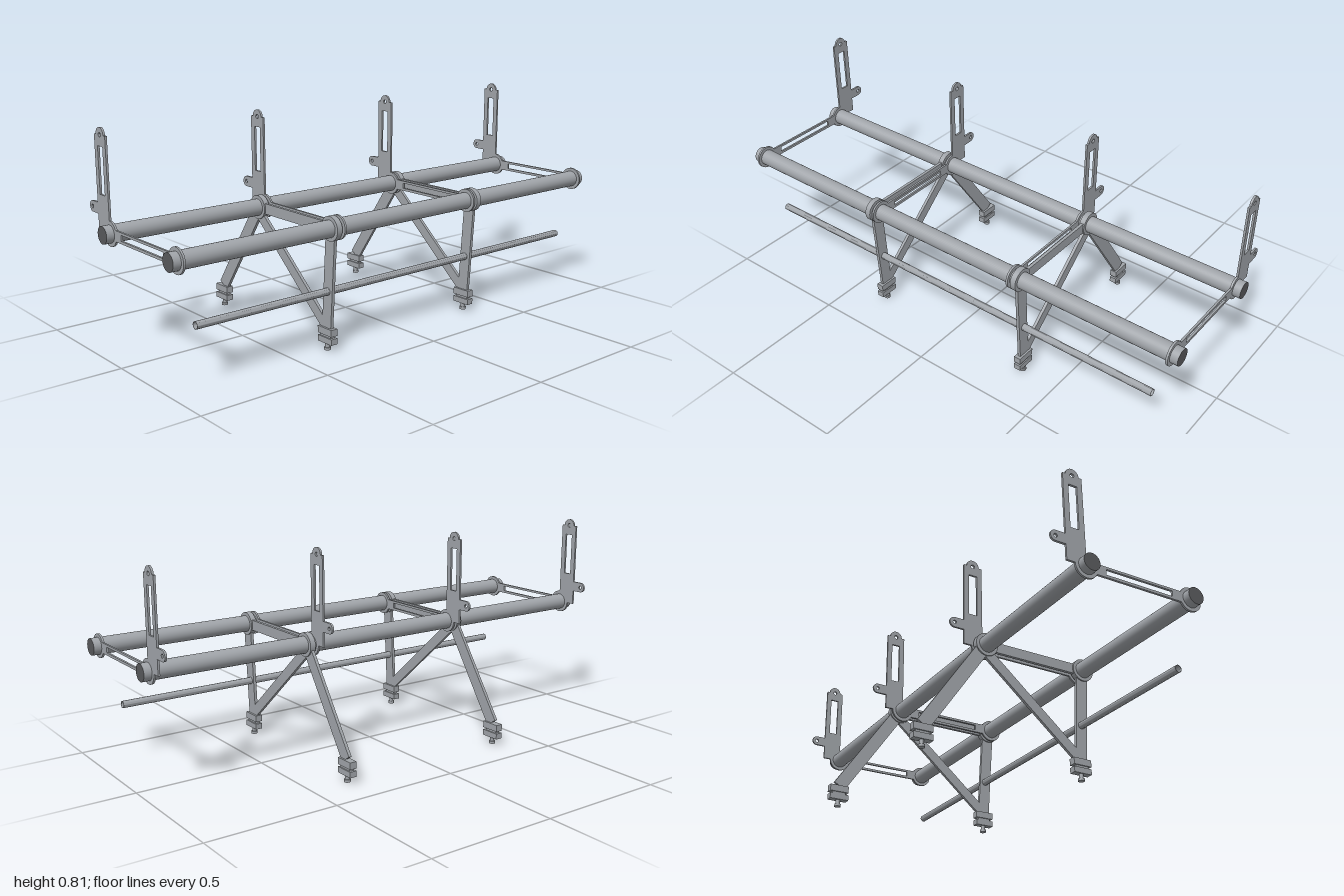
import * as THREE from 'three';
import { toCreasedNormals } from 'three/addons/utils/BufferGeometryUtils.js';

const steel = new THREE.MeshStandardMaterial({ color: 0xa0a4a9 });
steel.name = 'steel grey';
const dark = new THREE.MeshStandardMaterial({ color: 0x58595b });
dark.name = 'dark end cap';

// pipe axes as [z, y]
const FRONT = [0.339, 0.452], REAR = [-0.087, 0.452];
const PIPE_R = 0.032, RING_R = 0.045;

function add(parent, name, geometry, material = steel) {
  const mesh = new THREE.Mesh(geometry, material);
  mesh.name = name;
  parent.add(mesh);
  return mesh;
}

// extrude a profile drawn in (z, y) into a plate centred on x = 0
function plate(shape, thickness) {
  const g = new THREE.ExtrudeGeometry(shape, { depth: thickness, bevelEnabled: false, curveSegments: 24 });
  g.translate(0, 0, -thickness / 2);
  g.rotateY(-Math.PI / 2);
  return toCreasedNormals(g, 0.6);
}

function circleHole(z, y, r) {
  return new THREE.Path().absarc(z, y, r, 0, Math.PI * 2, true);
}

function polygon(points) {
  return new THREE.Shape(points.map(([z, y]) => new THREE.Vector2(z, y)));
}

// straight flat bar between two (z, y) points
function bar(a, b, width, thickness) {
  const len = Math.hypot(b[0] - a[0], b[1] - a[1]);
  const nz = -(b[1] - a[1]) / len * width / 2, ny = (b[0] - a[0]) / len * width / 2;
  return plate(polygon([
    [a[0] - nz, a[1] - ny], [b[0] - nz, b[1] - ny],
    [b[0] + nz, b[1] + ny], [a[0] + nz, a[1] + ny],
  ]), thickness);
}

function xCylinder(r, length, open = false) {
  return new THREE.CylinderGeometry(r, r, length, 40, 1, open).rotateZ(Math.PI / 2);
}

// one-piece plate: slotted link around both pipes plus the slotted upright with two eyes
function hangerGeometry() {
  const a = Math.asin(0.02 / RING_R), PI = Math.PI;
  const s = new THREE.Shape();
  s.absarc(...FRONT, RING_R, -(PI - a), PI - a, false);
  s.absarc(...REAR, RING_R, a, PI / 2, false);
  s.lineTo(-0.088, 0.787);
  s.absarc(-0.126, 0.787, 0.026, 0, PI, false);
  s.lineTo(-0.164, 0.787);
  s.lineTo(-0.164, 0.549);
  s.absarc(-0.203, 0.529, 0.02, PI / 2, PI * 1.5, false);
  s.lineTo(-0.164, 0.509);
  s.lineTo(-0.164, 0.452);
  s.absarc(...REAR, RING_R, PI, PI * 2 - a, false);
  s.holes.push(
    polygon([[-0.01, 0.442], [-0.01, 0.463], [0.262, 0.463], [0.262, 0.442]]),
    polygon([[-0.143, 0.58], [-0.143, 0.748], [-0.109, 0.748], [-0.109, 0.58]]),
    circleHole(-0.126, 0.787, 0.008),
    circleHole(-0.203, 0.529, 0.007),
  );
  return plate(s, 0.008);
}

// clamp blocks with an adjusting screw underneath
function foot(name, z) {
  const g = new THREE.Group();
  g.name = name;
  const box = (label, w, d, y0, y1) =>
    add(g, label, new THREE.BoxGeometry(w, y1 - y0, d)).position.y = (y0 + y1) / 2;
  box('upperBlock', 0.028, 0.076, 0.058, 0.084);
  box('blockNeck', 0.018, 0.055, 0.049, 0.058);
  box('lowerBlock', 0.028, 0.076, 0.027, 0.049);
  add(g, 'screw', new THREE.CylinderGeometry(0.0085, 0.0085, 0.018, 20)).position.y = 0.018;
  add(g, 'footPad', new THREE.CylinderGeometry(0.0125, 0.0125, 0.01, 20)).position.y = 0.005;
  g.position.z = z;
  return g;
}

// leg frame: collars, link bar, front leg, rear leg, diagonal brace and two feet
function legFrame() {
  const g = new THREE.Group(), t = 0.012;
  for (const [name, [z, y]] of [['frontCollar', FRONT], ['rearCollar', REAR]]) {
    add(g, name, xCylinder(RING_R, 0.022)).position.set(0, y, z);
  }
  add(g, 'linkBar', bar(FRONT, REAR, 0.04, t));
  const leg = polygon([[0.29, 0.08], [0.338, 0.08], [0.361, 0.43], [0.312, 0.43]]);
  leg.holes.push(circleHole(0.3215, 0.22, 0.0135));
  add(g, 'frontLeg', plate(leg, t));
  add(g, 'rearLeg', bar([-0.1, 0.435], [-0.341, 0.084], 0.051, t));
  add(g, 'diagonalBrace', bar([-0.077, 0.418], [0.298, 0.095], 0.04, t));
  g.add(foot('frontFoot', 0.313), foot('rearFoot', -0.343));
  return g;
}

export function createModel() {
  const model = new THREE.Group();
  model.name = 'pipeRack';

  // long pipes with dark ends
  for (const [name, [z, y]] of [['frontPipe', FRONT], ['rearPipe', REAR]]) {
    const pipe = new THREE.Group();
    pipe.name = name;
    pipe.position.set(0, y, z);
    add(pipe, 'pipeWall', xCylinder(PIPE_R, 2, true));
    for (const side of [-1, 1]) {
      const cap = add(pipe, 'pipeEnd', new THREE.CircleGeometry(PIPE_R, 40), dark);
      cap.rotation.y = side * Math.PI / 2;
      cap.position.x = side;
    }
    model.add(pipe);
  }

  // thin hollow rod through the front legs
  const tube = new THREE.Shape().absarc(0.3215, 0.22, 0.0137, 0, Math.PI * 2, false);
  tube.holes.push(circleHole(0.3215, 0.22, 0.0122));
  add(model, 'hollowRod', plate(tube, 1.8));

  const hanger = hangerGeometry();
  for (const x of [-0.967, -0.322, 0.322, 0.967]) {
    add(model, 'hangerPlate', hanger).position.x = x;
  }

  for (const side of [-1, 1]) {
    const frame = legFrame();
    frame.name = side > 0 ? 'leftLegFrame' : 'rightLegFrame';
    frame.position.x = side * 0.348;
    model.add(frame);
  }
  return model;
}
